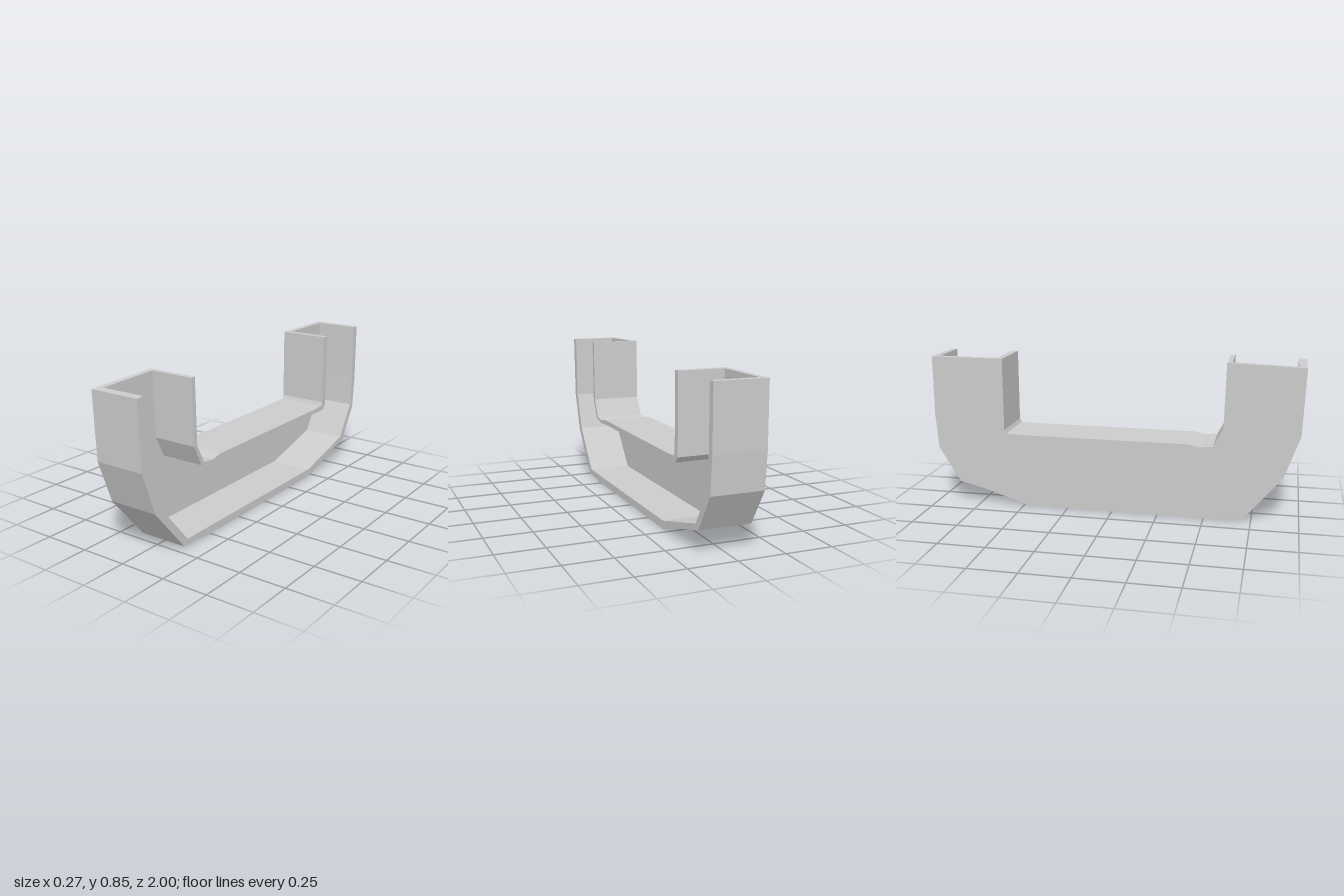
import * as THREE from 'three';

// Profile lines as [z, y], running from the front arm to the back arm
const outerEdge = [[1, 0.832], [0.988, 0.48], [0.91, 0.255], [0.707, 0.01], [0.56, 0.008], [0.55, 0],
  [-0.47, 0.003], [-0.68, 0.07], [-0.868, 0.12], [-0.985, 0.31], [-1, 0.5], [-1, 0.823]];
const outerInset = [[0.957, 0.834], [0.945, 0.48], [0.872, 0.272], [0.68, 0.042], [-0.46, 0.046],
  [-0.84, 0.145], [-0.955, 0.33], [-0.965, 0.5], [-0.966, 0.823]];
const innerInset = [[0.625, 0.844], [0.615, 0.5], [0.562, 0.39], [0.475, 0.375], [0.4, 0.38],
  [-0.61, 0.38], [-0.635, 0.41], [-0.635, 0.823]];
const innerEdge = [[0.6, 0.845], [0.592, 0.5], [0.54, 0.4], [0.47, 0.393], [0.41, 0.406],
  [-0.5, 0.406], [-0.59, 0.409], [-0.6, 0.43], [-0.6, 0.823]];

const HALF_WIDTH = 0.137;
const WEB_X = -0.105; // inside face of the side plate

export function createModel() {
  const group = new THREE.Group();
  group.name = 'bentChannel';
  const material = new THREE.MeshStandardMaterial({ color: 0xcccccc, flatShading: true });

  // Fills the band between two profile lines and extrudes it from x0 to x1
  function addBand(name, lineA, lineB, x0, x1) {
    const outline = [...lineA, ...[...lineB].reverse()];
    const shape = new THREE.Shape(outline.map(([z, y]) => new THREE.Vector2(z, y)));
    const geometry = new THREE.ExtrudeGeometry(shape, { depth: x1 - x0, bevelEnabled: false });
    geometry.rotateY(-Math.PI / 2).translate(x1, 0, 0);
    const mesh = new THREE.Mesh(geometry, material);
    mesh.name = name;
    group.add(mesh);
  }

  // Closed side plate, and the two walls that leave the other side and arm tops open
  addBand('sidePlate', outerEdge, innerEdge, -HALF_WIDTH, WEB_X);
  addBand('outerWall', outerEdge, outerInset, WEB_X, HALF_WIDTH);
  addBand('innerWall', innerEdge, innerInset, WEB_X, HALF_WIDTH);
  return group;
}
